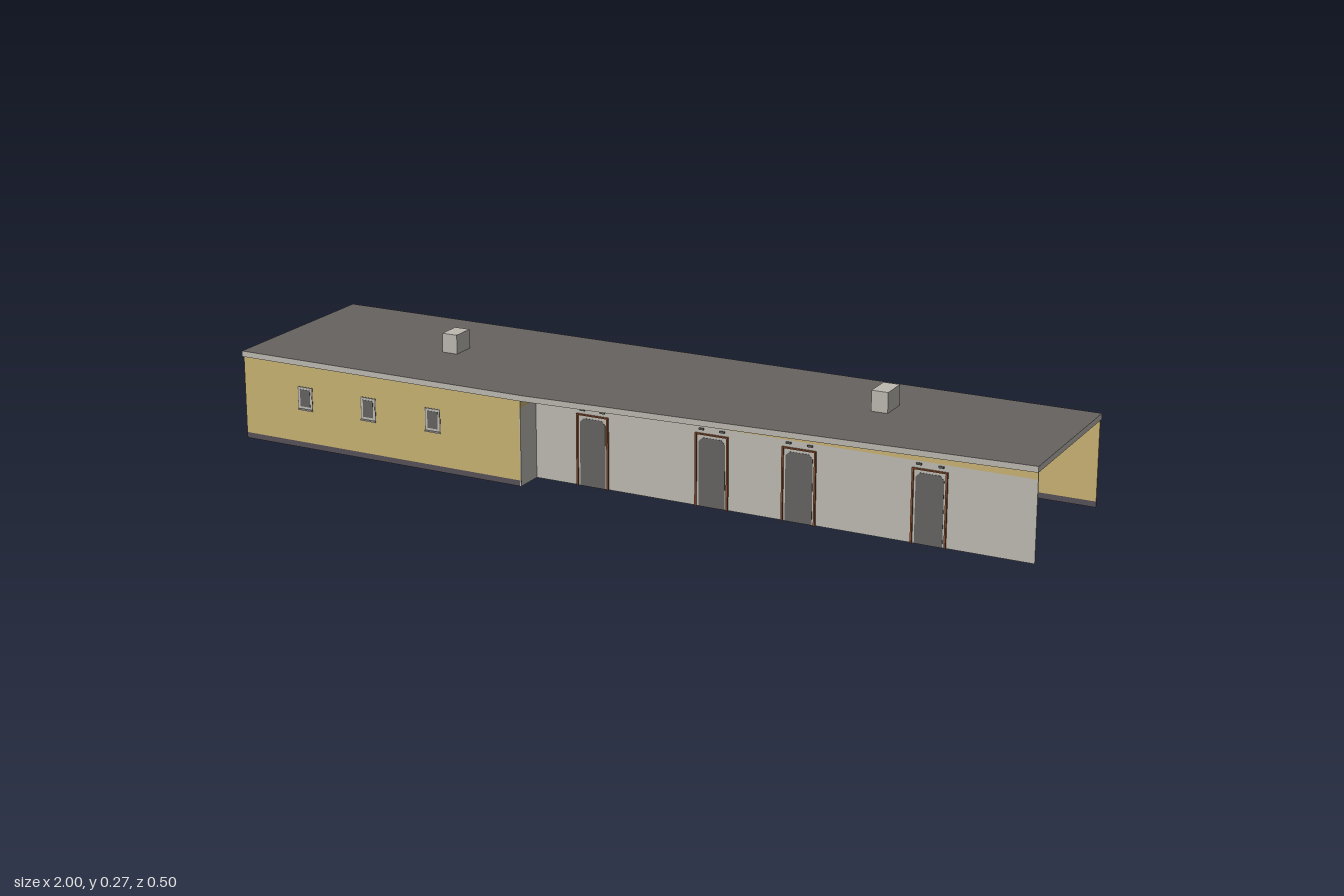
import * as THREE from 'three';

const mat = (name, color) => {
  const m = new THREE.MeshStandardMaterial({ color });
  m.name = name;
  return m;
};

export function createModel() {
  const model = new THREE.Group();
  model.name = 'longBuilding';
  const ochre = mat('ochre plaster', 0xc8b273);
  const grey = mat('light grey', 0xbdb9b1);
  const roofGrey = mat('roof grey', 0x66625f);
  const plinthGrey = mat('plinth grey', 0x575158);
  const brown = mat('brown wood', 0x8a5030);
  const pane = mat('dark pane', 0x646361);

  // box given by its centre and size
  const box = (parent, name, m, x, y, z, w, h, d) => {
    const mesh = new THREE.Mesh(new THREE.BoxGeometry(w, h, d), m);
    mesh.name = name;
    mesh.position.set(x, y, z);
    parent.add(mesh);
    return mesh;
  };

  // wall from a to b in plan, made of horizontal bands; local +z faces outward
  const T = 0.003;
  const wall = (name, a, b, bands) => {
    const g = new THREE.Group();
    g.name = name;
    g.position.set(a[0], 0, a[1]);
    const dx = b[0] - a[0], dz = b[1] - a[1], len = Math.hypot(dx, dz);
    g.rotation.y = -Math.atan2(dz, dx);
    for (const [band, m, y0, y1] of bands) {
      box(g, band, m, len / 2, (y0 + y1) / 2, -T / 2, len, y1 - y0, T);
    }
    model.add(g);
    return g;
  };
  const plastered = [['plinth', plinthGrey, 0, 0.014], ['plaster', ochre, 0.014, 0.206]];
  const greyBands = [['facing', grey, 0, 0.189], ['topBand', ochre, 0.189, 0.206]];

  wall('backWall', [0.999, -0.217], [-0.999, -0.246], plastered);
  wall('endReturn', [-0.999, 0.172], [-0.999, 0.23], plastered);
  const windowWall = wall('windowWall', [-0.999, 0.23], [-0.225, 0.247], plastered);
  wall('stepReturn', [-0.225, 0.247], [-0.225, 0.174], greyBands);
  const doorWall = wall('doorWall', [-0.225, 0.174], [0.999, 0.193], greyBands);

  // panel with clipped upper corners
  const panel = (w, h, c) => {
    const s = new THREE.Shape([[-w / 2, 0], [w / 2, 0], [w / 2, h - c], [w / 2 - c, h],
      [c - w / 2, h], [-w / 2, h - c]].map(p => new THREE.Vector2(...p)));
    return new THREE.ExtrudeGeometry(s, { depth: 0.006, bevelEnabled: false });
  };

  // doors: brown frame, light lining, dark leaf and two small lamps
  for (const x of [-0.075, 0.23, 0.445, 0.755]) {
    const door = new THREE.Group();
    door.name = 'door';
    door.position.set(x + 0.225, 0, -T / 2);
    for (const s of [-1, 1]) {
      box(door, 'doorPost', brown, s * 0.0395, 0.085, 0, 0.004, 0.17, 0.013);
      box(door, 'doorLamp', pane, s * 0.026, 0.183, 0.003, 0.012, 0.004, 0.006);
    }
    box(door, 'doorHead', brown, 0, 0.1715, 0, 0.083, 0.003, 0.013);
    box(door, 'doorLining', grey, 0, 0.085, 0, 0.075, 0.17, 0.0045);
    const leaf = new THREE.Mesh(panel(0.066, 0.163, 0.01), pane);
    leaf.name = 'doorLeaf';
    leaf.position.z = -0.003;
    door.add(leaf);
    doorWall.add(door);
  }

  // windows: light frame, dark pane and sill
  for (const x of [-0.823, -0.643, -0.463]) {
    const win = new THREE.Group();
    win.name = 'window';
    win.position.set(x + 0.999, 0.125, -T / 2);
    box(win, 'windowFrame', pane, 0, 0, 0, 0.042, 0.056, 0.004);
    box(win, 'windowLining', grey, 0, 0, 0, 0.038, 0.052, 0.005);
    box(win, 'windowPane', pane, 0, 0, 0, 0.028, 0.042, 0.006);
    box(win, 'windowSill', grey, 0, -0.029, 0.002, 0.042, 0.003, 0.006);
    windowWall.add(win);
  }

  // roof slab, with a light fascia round the edge
  const plan = new THREE.Shape([[-1, -0.236], [-0.22, -0.25], [1, -0.197], [1, 0.222], [-1, 0.25]]
    .map(p => new THREE.Vector2(...p)));
  const slab = new THREE.ExtrudeGeometry(plan, { depth: 0.014, bevelEnabled: false });
  slab.rotateX(-Math.PI / 2);
  const roof = new THREE.Mesh(slab, [roofGrey, grey]);
  roof.name = 'roof';
  roof.position.y = 0.206;
  model.add(roof);

  // roof vents
  box(model, 'roofVent', grey, -0.545, 0.243, -0.005, 0.04, 0.048, 0.06);
  box(model, 'roofVent', grey, 0.555, 0.244, -0.038, 0.04, 0.05, 0.07);
  return model;
}
